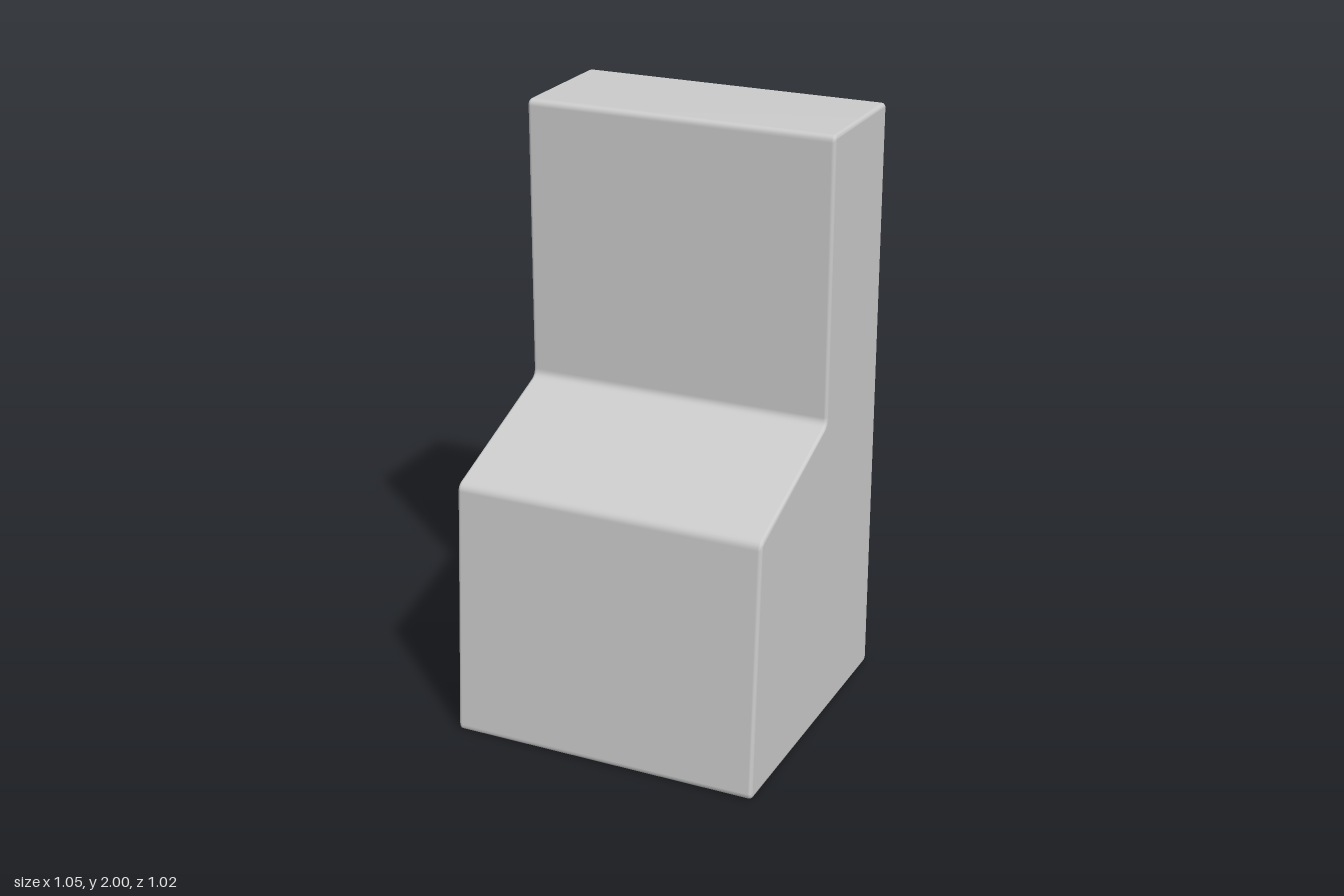
import * as THREE from 'three';
import { mergeVertices } from 'three/addons/utils/BufferGeometryUtils.js';

// Closed shape through the points, with every corner rounded by radius r
function roundedShape(points, r) {
  const pts = points.map(([x, y]) => new THREE.Vector2(x, y));
  const shape = new THREE.Shape();
  pts.forEach((p, i) => {
    const prev = pts[(i + pts.length - 1) % pts.length];
    const next = pts[(i + 1) % pts.length];
    const a = p.clone().add(prev.clone().sub(p).setLength(r));
    const b = p.clone().add(next.clone().sub(p).setLength(r));
    if (i === 0) shape.moveTo(a.x, a.y);
    else shape.lineTo(a.x, a.y);
    shape.quadraticCurveTo(p.x, p.y, b.x, b.y);
  });
  shape.closePath();
  return shape;
}

export function createModel() {
  const group = new THREE.Group();
  group.name = 'cabinet';

  const width = 1.05;
  const bevel = 0.012;

  // Side profile as [z, y]: base, sloped control deck, upright back
  const profile = [
    [-0.51, 0], [0.515, 0], [0.465, 0.867],
    [-0.06, 1.06], [-0.06, 2], [-0.51, 2],
  ];

  let geometry = new THREE.ExtrudeGeometry(roundedShape(profile, 0.022), {
    depth: width - 2 * bevel,
    curveSegments: 4,
    bevelEnabled: true,
    bevelSize: bevel,
    bevelThickness: bevel,
    bevelOffset: -bevel,
    bevelSegments: 3,
  });
  geometry.translate(0, 0, -(width / 2 - bevel));
  geometry.rotateY(-Math.PI / 2);

  // Weld so the narrow bevels shade smoothly into the flat sides
  geometry.deleteAttribute('uv');
  geometry.deleteAttribute('normal');
  geometry = mergeVertices(geometry, 1e-4);
  geometry.computeVertexNormals();

  const body = new THREE.Mesh(geometry, new THREE.MeshStandardMaterial({ color: 0xcccccc }));
  body.name = 'cabinetBody';
  group.add(body);
  return group;
}
